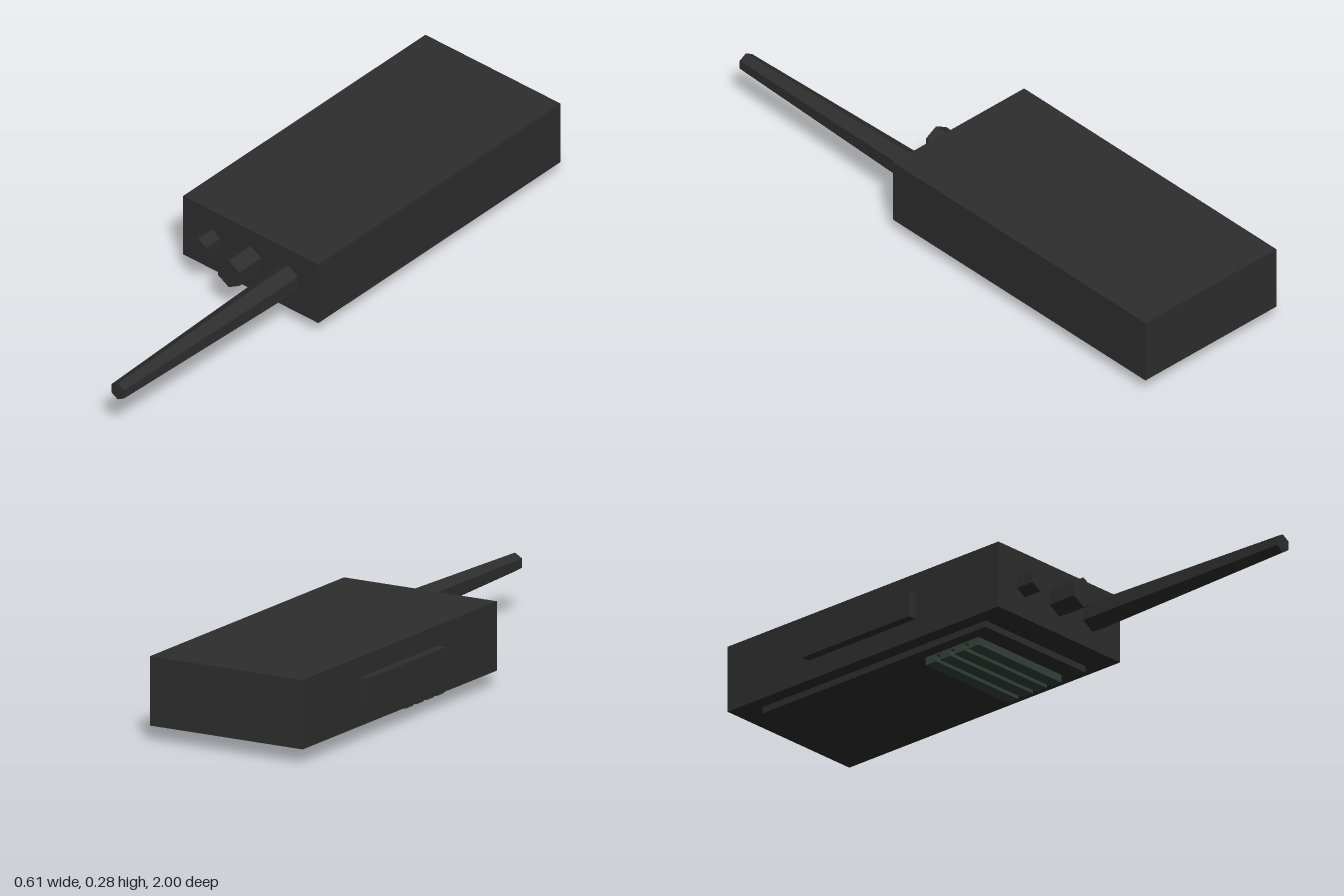
import * as THREE from 'three';

export function createModel() {
  const model = new THREE.Group();
  const casing = new THREE.MeshStandardMaterial({ color: 0x2e2e2e, flatShading: true });
  casing.name = 'charcoalCasing';
  const green = new THREE.MeshStandardMaterial({ color: 0x35433b, flatShading: true });
  green.name = 'darkGreenGrille';

  // Box given by its minimum and maximum corners
  function box(name, material, [x0, y0, z0], [x1, y1, z1]) {
    const mesh = new THREE.Mesh(new THREE.BoxGeometry(x1 - x0, y1 - y0, z1 - z0), material);
    mesh.position.set((x0 + x1) / 2, (y0 + y1) / 2, (z0 + z1) / 2);
    mesh.name = name;
    model.add(mesh);
  }

  // Six-sided peg pointing forward from the end of the body
  function hexPeg(name, x, baseRadius, tipRadius, zEnd) {
    const zStart = 0.17;
    const geometry = new THREE.CylinderGeometry(tipRadius, baseRadius, zEnd - zStart, 6);
    geometry.rotateX(Math.PI / 2);
    const mesh = new THREE.Mesh(geometry, casing);
    mesh.position.set(x, 0.164, (zStart + zEnd) / 2);
    mesh.name = name;
    model.add(mesh);
  }

  // Casing, raised face panel and side talk button
  box('body', casing, [-0.272, 0.049, -1], [0.302, 0.278, 0.175]);
  box('facePanel', casing, [-0.222, 0.027, -0.894], [0.25, 0.05, 0.073]);
  box('talkButton', casing, [-0.303, 0.118, -0.648], [-0.27, 0.21, -0.184]);

  // Speaker grille: thin backing with four slats
  box('grilleBacking', green, [-0.18, 0.02, -0.226], [0.21, 0.028, 0.005]);
  for (let i = 0; i < 4; i++) {
    const z = 0.005 - i * 0.062;
    box('grilleSlat' + (i + 1), green, [-0.18, 0, z - 0.045], [0.21, 0.021, z]);
  }

  // Knobs and tapered antenna
  hexPeg('smallKnob', -0.149, 0.04, 0.04, 0.242);
  hexPeg('largeKnob', 0.0145, 0.052, 0.052, 0.281);
  hexPeg('antenna', 0.172, 0.052, 0.031, 1);

  return model;
}
